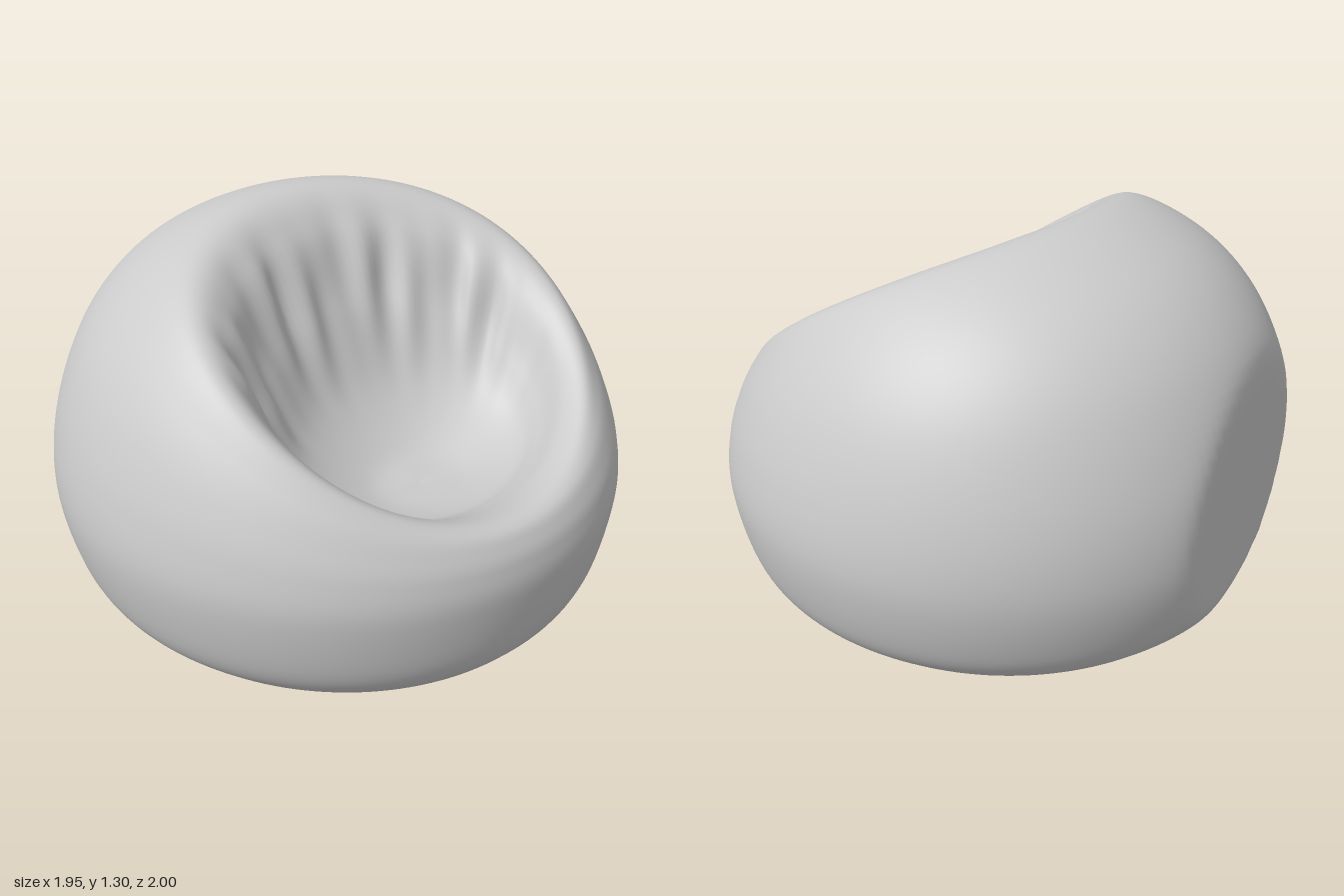
import * as THREE from 'three';

const FACING = Math.PI / 6; // the seat opens towards +x +z
const SEGMENTS = 160;
const ROWS = 120;

// Rings from the base centre, up the side, over the rim and down into the seat:
// back reach, front reach, half width, then height at back, side and front.
const RINGS = [
  [0, 0, 0, 0, 0, 0],
  [-0.4, 0.4, 0.4, 0, 0, 0],
  [-0.77, 0.8, 0.77, 0, 0, 0],
  [-0.87, 0.88, 0.87, 0.045, 0.04, 0.03],
  [-0.95, 0.94, 0.95, 0.17, 0.16, 0.14],
  [-1, 0.975, 1, 0.42, 0.4, 0.35],
  [-0.96, 0.965, 0.975, 0.7, 0.62, 0.46],
  [-0.82, 0.94, 0.9, 1.0, 0.82, 0.52],
  [-0.6, 0.91, 0.8, 1.2, 0.95, 0.555],
  [-0.3, 0.86, 0.69, 1.3, 1.0, 0.565],
  [-0.13, 0.79, 0.6, 1.19, 0.92, 0.545],
  [-0.02, 0.72, 0.51, 0.95, 0.73, 0.51],
  [0.1, 0.66, 0.4, 0.68, 0.57, 0.48],
  [0.27, 0.56, 0.2, 0.5, 0.47, 0.46],
  [0.42, 0.42, 0, 0.45, 0.45, 0.45],
];

const bump = (x, centre, width) => Math.exp(-(((x - centre) / width) ** 2));

// Bends everything beyond the flat side panel softly onto its plane
function flattenSide(p) {
  const n = new THREE.Vector3(-0.963, 0, -0.268);
  const limit = 0.881, soft = 0.012;
  const d = p.dot(n);
  const target = limit - soft * Math.log(1 + Math.exp((limit - d) / soft));
  // smooth minimum of d and limit
  const flat = d < limit - 0.15 ? d : d - soft * Math.log(1 + Math.exp((d - limit) / soft));
  return p.addScaledVector(n, Math.min(flat, Math.max(target, flat)) - d);
}

function bagGeometry() {
  const spline = (from) => new THREE.CatmullRomCurve3(
    RINGS.map((r) => new THREE.Vector3(r[from], r[from + 1], r[from + 2])), false, 'catmullrom', 0.5);
  const reach = spline(0), height = spline(3);
  const positions = [], indices = [];

  for (let j = 0; j <= ROWS; j++) {
    const t = j / ROWS;
    const ring = t * (RINGS.length - 1);
    const { x: back, y: front, z: half } = reach.getPoint(t);
    const { x: yb, y: ys, z: yf } = height.getPoint(t);
    for (let i = 0; i < SEGMENTS; i++) {
      const a = (i / SEGMENTS) * Math.PI * 2;
      const c = Math.cos(a);

      // gathered folds below the rear rim and small puckers at the base
      const rear = THREE.MathUtils.smoothstep(-c, -0.45, 0.5);
      const folds = Math.sin(a * 15 + ring) + 0.7 * Math.sin(a * 23 + 1.3);
      const fold = 0.012 * folds * rear * bump(ring, 10.7, 0.8)
        + 0.005 * Math.sin(a * 44) * bump(ring, 3.6, 0.5) * bump(a, 2.3, 0.45);

      const u = (back + front) / 2 + ((front - back) / 2 + fold) * c;
      const v = (half + fold) * Math.sin(a);
      const y = (yb + yf + 2 * ys) / 4 + ((yf - yb) / 2) * c
        + ((yb + yf - 2 * ys) / 4) * Math.cos(2 * a);
      const p = new THREE.Vector3(
        u * Math.cos(FACING) - v * Math.sin(FACING),
        ring < 2 ? 0 : Math.max(0, y),
        u * Math.sin(FACING) + v * Math.cos(FACING));
      if (ring < 10) flattenSide(p);
      positions.push(p.x, p.y, p.z);

      if (j < ROWS) {
        const k = j * SEGMENTS + i;
        const next = j * SEGMENTS + ((i + 1) % SEGMENTS);
        if (j < ROWS - 1) indices.push(k, k + SEGMENTS, next + SEGMENTS);
        else indices.push(k, k + SEGMENTS, next);
        if (j > 0 && j < ROWS - 1) indices.push(k, next + SEGMENTS, next);
      }
    }
  }
  const geometry = new THREE.BufferGeometry();
  geometry.setAttribute('position', new THREE.Float32BufferAttribute(positions, 3));
  geometry.setIndex(indices);
  geometry.computeVertexNormals();
  return geometry;
}

export function createModel() {
  const group = new THREE.Group();
  group.name = 'beanBagChair';
  const bag = new THREE.Mesh(bagGeometry(), new THREE.MeshStandardMaterial({ color: 0xcccccc }));
  bag.name = 'bag';
  group.add(bag);
  return group;
}
